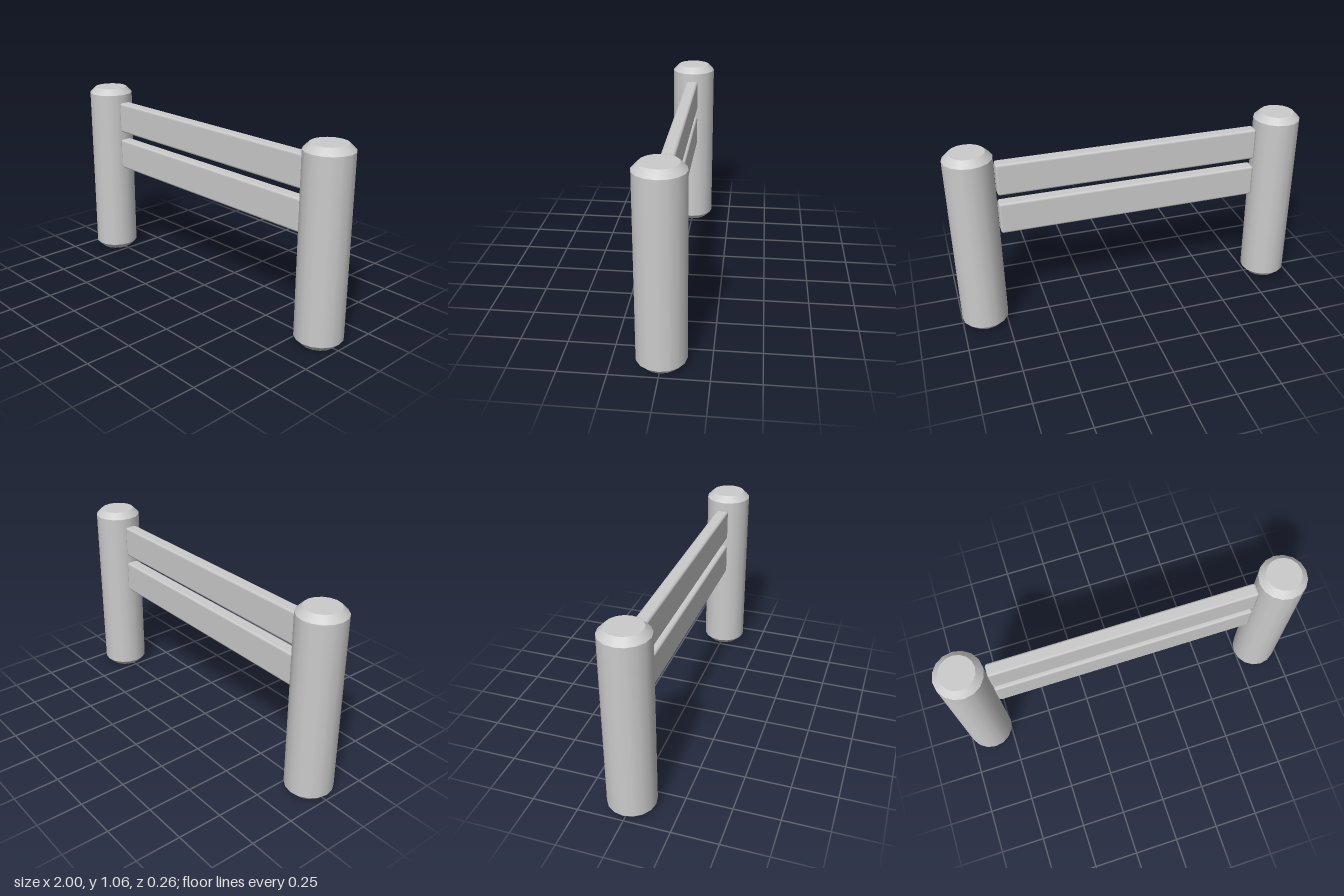
import * as THREE from 'three';
import { RoundedBoxGeometry } from 'three/addons/geometries/RoundedBoxGeometry.js';

const HEIGHT = 1.06, RADIUS = 0.13, BEVEL = 0.034;

// Round post profile; close-set rings keep the caps flat and the sides straight
function postGeometry() {
  const e = 0.002, inner = RADIUS - BEVEL;
  const lower = [
    [0, 0], [inner - e, 0], [inner, 0], [RADIUS, BEVEL], [RADIUS, BEVEL + e],
  ];
  const upper = lower.map(([r, y]) => [r, HEIGHT - y]).reverse();
  const profile = [...lower, ...upper].map(([r, y]) => new THREE.Vector2(r, y));
  return new THREE.LatheGeometry(profile, 16);
}

export function createModel() {
  const group = new THREE.Group();
  group.name = 'fence';
  const material = new THREE.MeshStandardMaterial({ color: 0xcccccc });

  const add = (name, geometry, x, y) => {
    const mesh = new THREE.Mesh(geometry, material);
    mesh.name = name;
    mesh.position.set(x, y, 0);
    group.add(mesh);
  };

  // Bevelled posts at both ends
  const post = postGeometry();
  add('leftPost', post, 1 - RADIUS, 0);
  add('rightPost', post, RADIUS - 1, 0);

  // Two horizontal planks between the posts
  const rail = new RoundedBoxGeometry(1.474, 0.182, 0.074, 1, 0.014);
  add('upperRail', rail, 0, 0.889);
  add('lowerRail', rail, 0, 0.659);

  return group;
}
